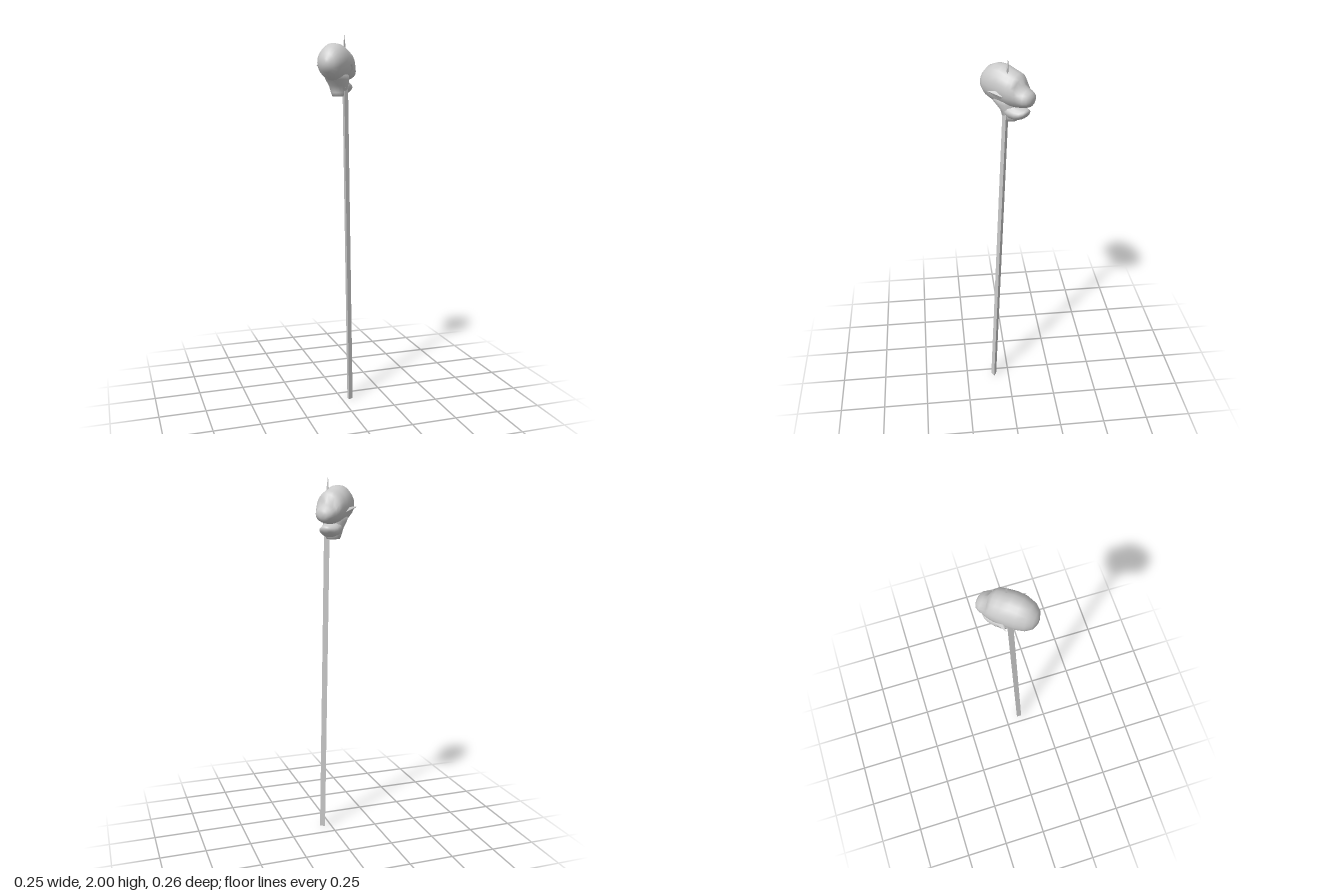
import * as THREE from 'three';

const material = new THREE.MeshStandardMaterial({ color: 0xcccccc });
const thin = new THREE.MeshStandardMaterial({ color: 0xcccccc, side: THREE.DoubleSide });
const flat = new THREE.MeshStandardMaterial({ color: 0xcccccc, flatShading: true });

function part(name, geometry, mat = material) {
  const mesh = new THREE.Mesh(geometry, mat);
  mesh.name = name;
  return mesh;
}

// Smooth skin over elliptical rings; each ring is [z, top, bottom, halfWidth].
function loft(rings, sides = 16, adjust = () => {}) {
  const pos = [], index = [], p = new THREE.Vector3();
  rings.forEach(([z, top, bottom, w]) => {
    for (let j = 0; j < sides; j++) {
      const a = (j / sides) * Math.PI * 2;
      p.set(Math.cos(a) * w, (top + bottom) / 2 + Math.sin(a) * (top - bottom) / 2, z);
      adjust(p);
      pos.push(p.x, p.y, p.z);
    }
  });
  const caps = [rings[0], rings[rings.length - 1]].map(([z, t, b]) => {
    pos.push(0, (t + b) / 2, z);
    return pos.length / 3 - 1;
  });
  const last = (rings.length - 1) * sides;
  for (let j = 0; j < sides; j++) {
    const k = (j + 1) % sides;
    for (let i = 0; i < last; i += sides) {
      index.push(i + j, i + k, i + sides + j, i + k, i + sides + k, i + sides + j);
    }
    index.push(caps[0], k, j, caps[1], last + j, last + k);
  }
  const g = new THREE.BufferGeometry();
  g.setAttribute('position', new THREE.Float32BufferAttribute(pos, 3));
  g.setIndex(index);
  g.computeVertexNormals();
  return g;
}

// Three-sided shaft between two points.
function shaft(from, to, rTop, rBottom) {
  const dir = to.clone().sub(from);
  const g = new THREE.CylinderGeometry(rTop, rBottom, dir.length(), 3, 1);
  g.rotateY(Math.PI / 2);
  g.applyQuaternion(new THREE.Quaternion().setFromUnitVectors(new THREE.Vector3(0, 1, 0), dir.normalize()));
  const mid = from.clone().add(to).multiplyScalar(0.5);
  return g.translate(mid.x, mid.y, mid.z);
}

export function createModel() {
  const model = new THREE.Group();

  // Leaning pole and the spike that pierces the crown
  const foot = new THREE.Vector3(0.045, 0, 0.088);
  const tip = new THREE.Vector3(0.038, 2, 0);
  const neckPoint = foot.clone().lerp(tip, 0.92);
  model.add(part('pole', shaft(foot, neckPoint, 0.0175, 0.0175), flat));
  model.add(part('spike', shaft(neckPoint, tip, 0.0005, 0.0175), flat));

  // Head, modelled facing local +z and then turned
  const head = new THREE.Group();
  head.name = 'head';
  head.rotation.y = THREE.MathUtils.degToRad(137);
  model.add(head);

  // Skull with brow and muzzle; the eye sockets are pressed in
  const sockets = (p) => {
    const d = Math.hypot(Math.abs(p.x) - 0.042, (p.y - 1.865) * 1.1, p.z - 0.1);
    const dent = 0.014 * Math.exp(-((d / 0.025) ** 2));
    p.z -= dent;
    p.x -= Math.sign(p.x) * dent * 0.6;
  };
  head.add(part('skull', loft([
    [-0.146, 1.872, 1.832, 0.016],
    [-0.134, 1.902, 1.803, 0.045],
    [-0.105, 1.935, 1.778, 0.066],
    [-0.06, 1.955, 1.762, 0.078],
    [-0.015, 1.955, 1.755, 0.081],
    [0.02, 1.942, 1.755, 0.08],
    [0.045, 1.934, 1.755, 0.078],
    [0.07, 1.926, 1.757, 0.074],
    [0.09, 1.908, 1.76, 0.067],
    [0.105, 1.878, 1.763, 0.058],
    [0.125, 1.858, 1.767, 0.053],
    [0.143, 1.845, 1.775, 0.043],
    [0.153, 1.828, 1.788, 0.022],
  ], 20, sockets)));

  // Neck: rings stacked upward, top and bottom standing for back and front
  const neck = loft([
    [1.68, 0.016, -0.058, 0.034],
    [1.70, 0.02, -0.066, 0.044],
    [1.735, 0.03, -0.07, 0.053],
    [1.77, 0.07, -0.07, 0.062],
    [1.81, 0.1, -0.07, 0.066],
  ]);
  head.add(part('neck', neck.rotateX(-Math.PI / 2)));

  // Open lower jaw
  head.add(part('lowerJaw', loft([
    [0.0, 1.785, 1.7, 0.05],
    [0.04, 1.778, 1.69, 0.056],
    [0.075, 1.762, 1.692, 0.052],
    [0.1, 1.755, 1.702, 0.044],
    [0.118, 1.752, 1.715, 0.032],
    [0.125, 1.746, 1.728, 0.016],
  ])));

  // Pointed ears swept backward, one on each side
  for (const side of [-1, 1]) {
    const ear = new THREE.BufferGeometry().setFromPoints([
      [0.07, 1.845, 0.0], [0.078, 1.82, 0.03], [0.105, 1.845, -0.04],
      [0.078, 1.82, 0.03], [0.07, 1.8, 0.005], [0.105, 1.845, -0.04],
    ].map(([x, y, z]) => new THREE.Vector3(side * x, y, z)));
    ear.computeVertexNormals();
    head.add(part(side > 0 ? 'leftEar' : 'rightEar', ear, thin));
  }
  return model;
}
